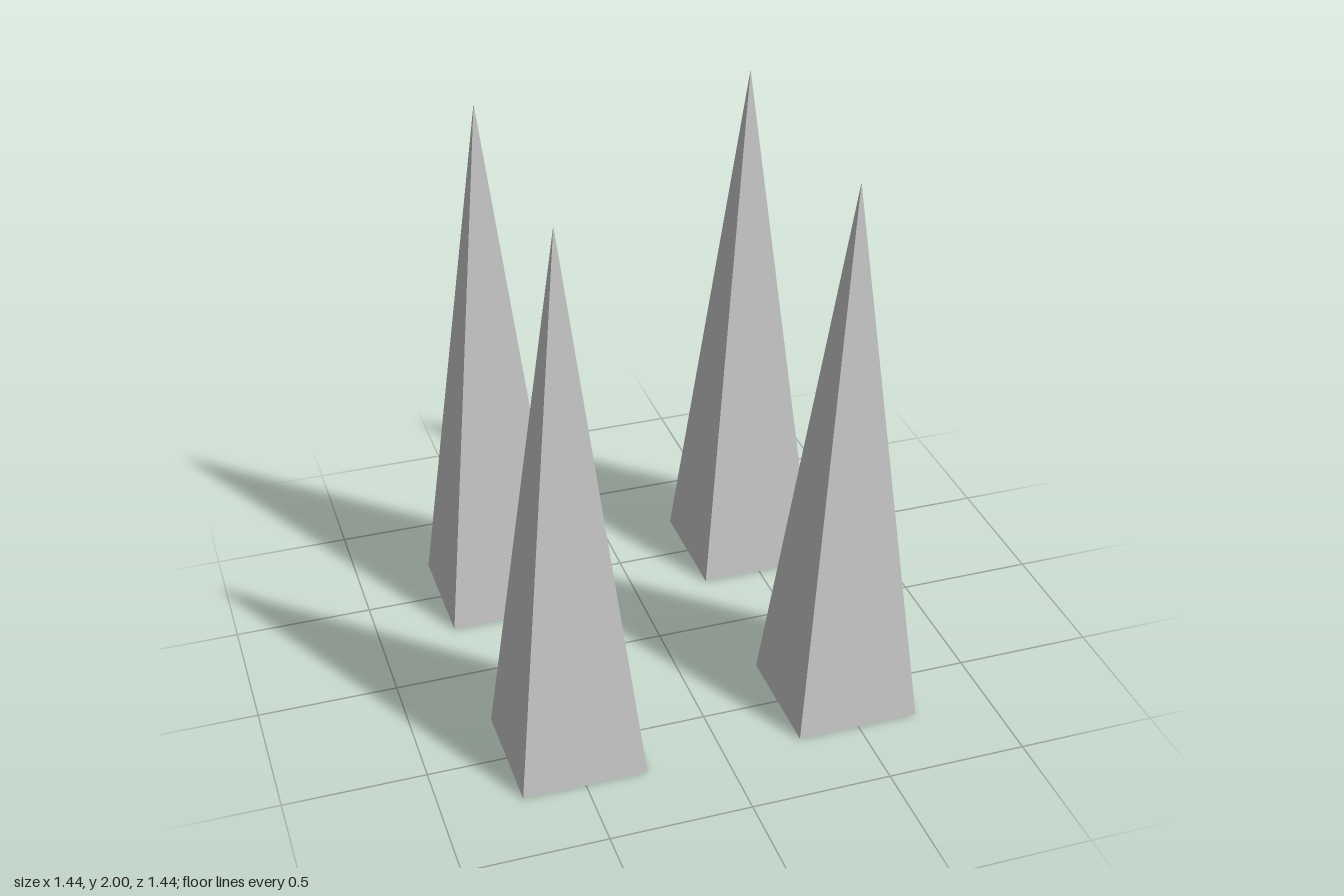
import * as THREE from 'three';

const HEIGHT = 2;
const HALF_BASE = 0.22;
const OFFSET = 0.5;

export function createModel() {
  const model = new THREE.Group();
  model.name = 'spikes';
  const material = new THREE.MeshStandardMaterial({ color: 0xcccccc, flatShading: true });

  // Four-sided spike, turned so its base edges follow x and z
  const geometry = new THREE.ConeGeometry(HALF_BASE * Math.SQRT2, HEIGHT, 4);
  geometry.rotateY(Math.PI / 4);
  geometry.translate(0, HEIGHT / 2, 0);

  // One spike at each corner of a square
  for (const [zName, z] of [['front', 1], ['back', -1]]) {
    for (const [xName, x] of [['Left', 1], ['Right', -1]]) {
      const spike = new THREE.Mesh(geometry, material);
      spike.name = `${zName}${xName}Spike`;
      spike.position.set(x * OFFSET, 0, z * OFFSET);
      model.add(spike);
    }
  }
  return model;
}
